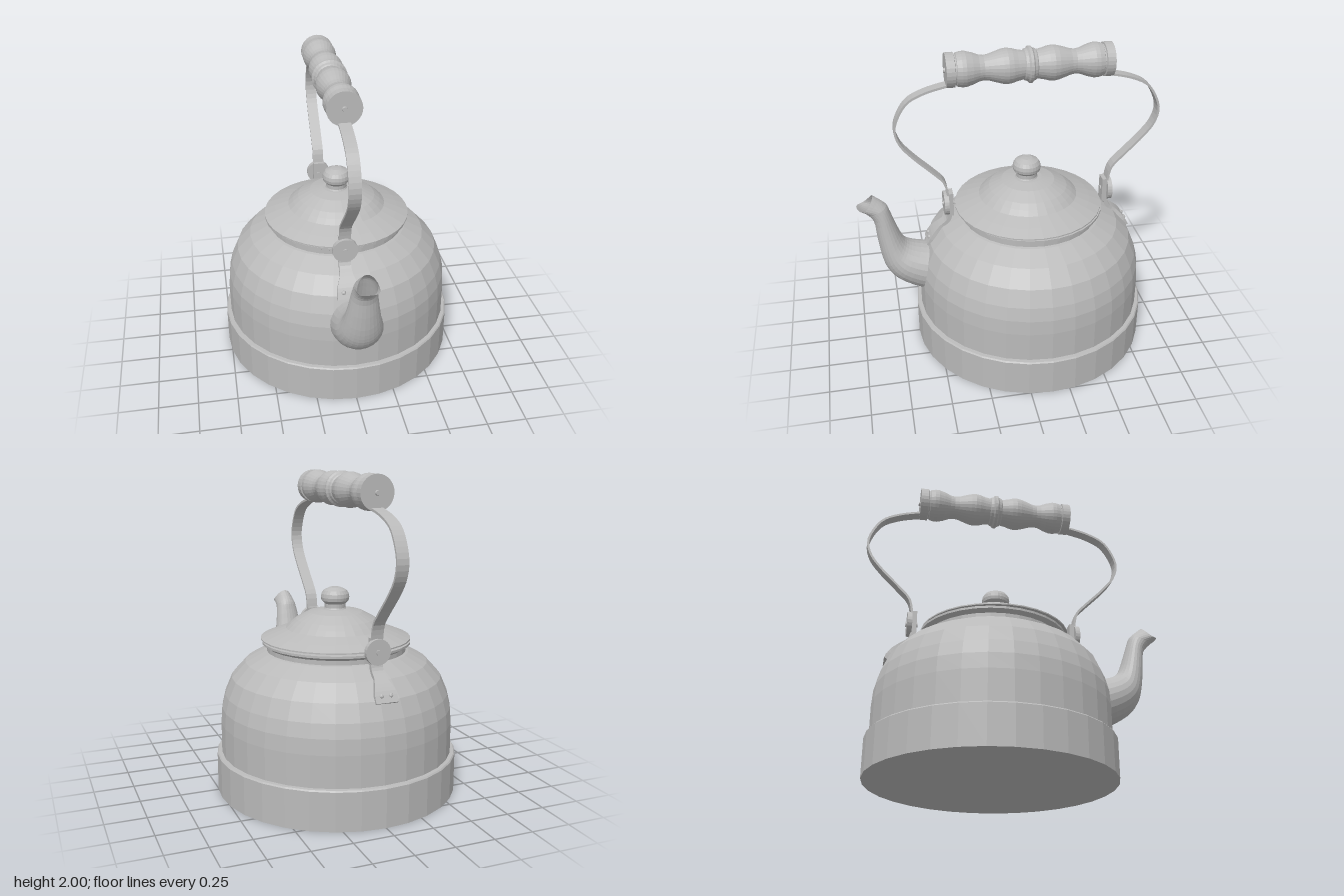
import * as THREE from 'three';

const metal = new THREE.MeshStandardMaterial({ color: 0xbababa, flatShading: true, side: THREE.DoubleSide });
metal.name = 'grey metal';

const AXIS_Z = -0.135;
const v2 = (p) => new THREE.Vector2(p[0], p[1]);

function add(parent, name, geometry, x = 0, y = 0, z = 0) {
  const mesh = new THREE.Mesh(geometry, metal);
  mesh.name = name;
  mesh.position.set(x, y, z);
  parent.add(mesh);
  return mesh;
}

const lathe = (points, sides = 32) => new THREE.LatheGeometry(points.map(v2), sides);

// Flat band swept along a path of [z, y] points, with a width rule along its length
function band(points, thickness, width, steps) {
  const curve = new THREE.CatmullRomCurve3(points.map(([z, y]) => new THREE.Vector3(0, y, z)));
  const geo = new THREE.BoxGeometry(1, 1, 1, 1, 1, steps);
  const pos = geo.attributes.position;
  for (let i = 0; i < pos.count; i++) {
    const t = pos.getZ(i) + 0.5;
    const p = curve.getPointAt(t);
    const d = curve.getTangentAt(t);
    const h = pos.getY(i) * thickness;
    pos.setXYZ(i, pos.getX(i) * width(t), p.y + d.z * h, p.z - d.y * h);
  }
  geo.computeVertexNormals();
  return geo;
}

// Spout: oval rings spanned between a front curve and a back curve
function spoutGeometry() {
  const curve = (pts) => new THREE.CatmullRomCurve3(pts.map(([z, y, w]) => new THREE.Vector3(w, y, z)));
  // front: z, y, half width
  const front = curve([[0.5, 0.385, 0.16], [0.6, 0.405, 0.16], [0.746, 0.49, 0.148], [0.81, 0.57, 0.13],
    [0.838, 0.66, 0.113], [0.857, 0.8, 0.092], [0.873, 0.935, 0.075], [0.91, 0.985, 0.068], [0.97, 1.04, 0.065]]);
  const back = curve([[0.42, 0.7, 0], [0.508, 0.705, 0], [0.62, 0.728, 0], [0.672, 0.755, 0],
    [0.702, 0.8, 0], [0.735, 0.89, 0], [0.766, 0.985, 0], [0.785, 1.035, 0], [0.865, 1.107, 0]]);
  const rings = 24, sides = 24, pos = [], index = [];
  for (let i = 0; i <= rings; i++) {
    const f = front.getPoint(i / rings), b = back.getPoint(i / rings);
    const dip = 0.035 * Math.max(0, (i - rings + 3) / 3);
    for (let j = 0; j < sides; j++) {
      const a = (j / sides) * Math.PI * 2, c = Math.cos(a), s = Math.sin(a);
      pos.push(s * f.x, (f.y + b.y) / 2 + c * (b.y - f.y) / 2 - dip * s * s, (f.z + b.z) / 2 + c * (b.z - f.z) / 2);
      if (i < rings) {
        const k = i * sides + j, n = i * sides + (j + 1) % sides;
        index.push(k, k + sides, n, n, k + sides, n + sides);
      }
    }
  }
  const geo = new THREE.BufferGeometry();
  geo.setAttribute('position', new THREE.Float32BufferAttribute(pos, 3));
  geo.setIndex(index);
  geo.computeVertexNormals();
  return geo;
}

// Turned grip, mirrored about its middle ridge
function gripGeometry() {
  const half = [[0.04, 0.087], [0.08, 0.095], [0.11, 0.104], [0.14, 0.108], [0.17, 0.104], [0.21, 0.092], [0.25, 0.079],
    [0.28, 0.075], [0.31, 0.08], [0.35, 0.096], [0.39, 0.107], [0.415, 0.107], [0.445, 0.1],
    [0.448, 0.094], [0.455, 0.094], [0.458, 0.105], [0.51, 0.105], [0.51, 0.016], [0.52, 0.013], [0.52, 0]];
  const right = [[0.008, 0.111], [0.018, 0.1], [0.034, 0.094], ...half];
  const left = right.map(([t, r]) => [-t, r]).reverse();
  return lathe([...left, ...right].map(([t, r]) => [r, t]), 28).rotateX(Math.PI / 2);
}

// One handle side: strap, hinge disc and riveted foot
function handleSide(name) {
  const side = new THREE.Group();
  side.name = name;
  add(side, 'strap', band([[0.46, 1.81], [0.505, 1.8], [0.643, 1.765], [0.749, 1.71], [0.816, 1.605],
    [0.833, 1.53], [0.807, 1.44], [0.738, 1.35], [0.605, 1.215], [0.548, 1.15], [0.527, 1.065], [0.522, 0.99]],
  0.014, () => 0.073, 36));
  const disc = (r, depth) => new THREE.CylinderGeometry(r, r, depth, 24).rotateX(Math.PI / 2);
  add(side, 'hingeDisc', disc(0.078, 0.03), 0, 0.985, 0.538);
  add(side, 'hingePlate', new THREE.BoxGeometry(0.075, 0.16, 0.03), 0, 0.985, 0.508);
  add(side, 'hingePin', disc(0.016, 0.075), 0, 0.985, 0.523);
  add(side, 'foot', band([[0.515, 0.98], [0.517, 0.91], [0.535, 0.865], [0.585, 0.825], [0.635, 0.775], [0.67, 0.715]],
    0.025, (t) => 0.075 + 0.065 * THREE.MathUtils.smoothstep(t, 0.45, 0.9), 14));
  for (const x of [-0.03, 0.03]) {
    add(side, 'rivet', new THREE.SphereGeometry(0.014, 10, 6), x, 0.757, 0.658);
  }
  return side;
}

export function createModel() {
  const kettle = new THREE.Group();
  kettle.name = 'kettle';

  // Body with base band and neck
  add(kettle, 'base', lathe([[0, 0], [0.765, 0], [0.765, 0.24], [0.758, 0.248], [0.73, 0.25]]), 0, 0, AXIS_Z);
  add(kettle, 'body', lathe([[0.735, 0.24], [0.735, 0.445], [0.728, 0.54], [0.707, 0.625], [0.662, 0.73], [0.575, 0.825],
    [0.457, 0.888], [0.44, 0.892], [0.44, 0.92], [0.468, 0.938], [0.468, 0.952], [0.42, 0.955]]), 0, 0, AXIS_Z);

  // Lid and knob
  add(kettle, 'lid', lathe([[0.42, 0.955], [0.472, 0.962], [0.472, 0.97], [0.4, 1.0], [0.315, 1.032], [0.285, 1.06],
    [0.25, 1.088], [0.17, 1.13], [0.09, 1.146], [0, 1.15]]), 0, 0, AXIS_Z + 0.01);
  add(kettle, 'knob', lathe([[0.075, 1.14], [0.066, 1.155], [0.066, 1.18], [0.086, 1.2], [0.09, 1.22], [0.086, 1.243],
    [0.072, 1.264], [0.035, 1.281], [0, 1.284]], 24), 0, 0, AXIS_Z + 0.018);

  add(kettle, 'spout', spoutGeometry());

  // Bail handle, front and back sides alike
  const handle = new THREE.Group();
  handle.name = 'handle';
  handle.position.set(-0.037, 0, AXIS_Z);
  add(handle, 'grip', gripGeometry(), 0, 1.889, 0);
  const backSide = handleSide('backHandleSide');
  backSide.rotation.y = Math.PI;
  handle.add(handleSide('frontHandleSide'), backSide);
  kettle.add(handle);

  return kettle;
}
